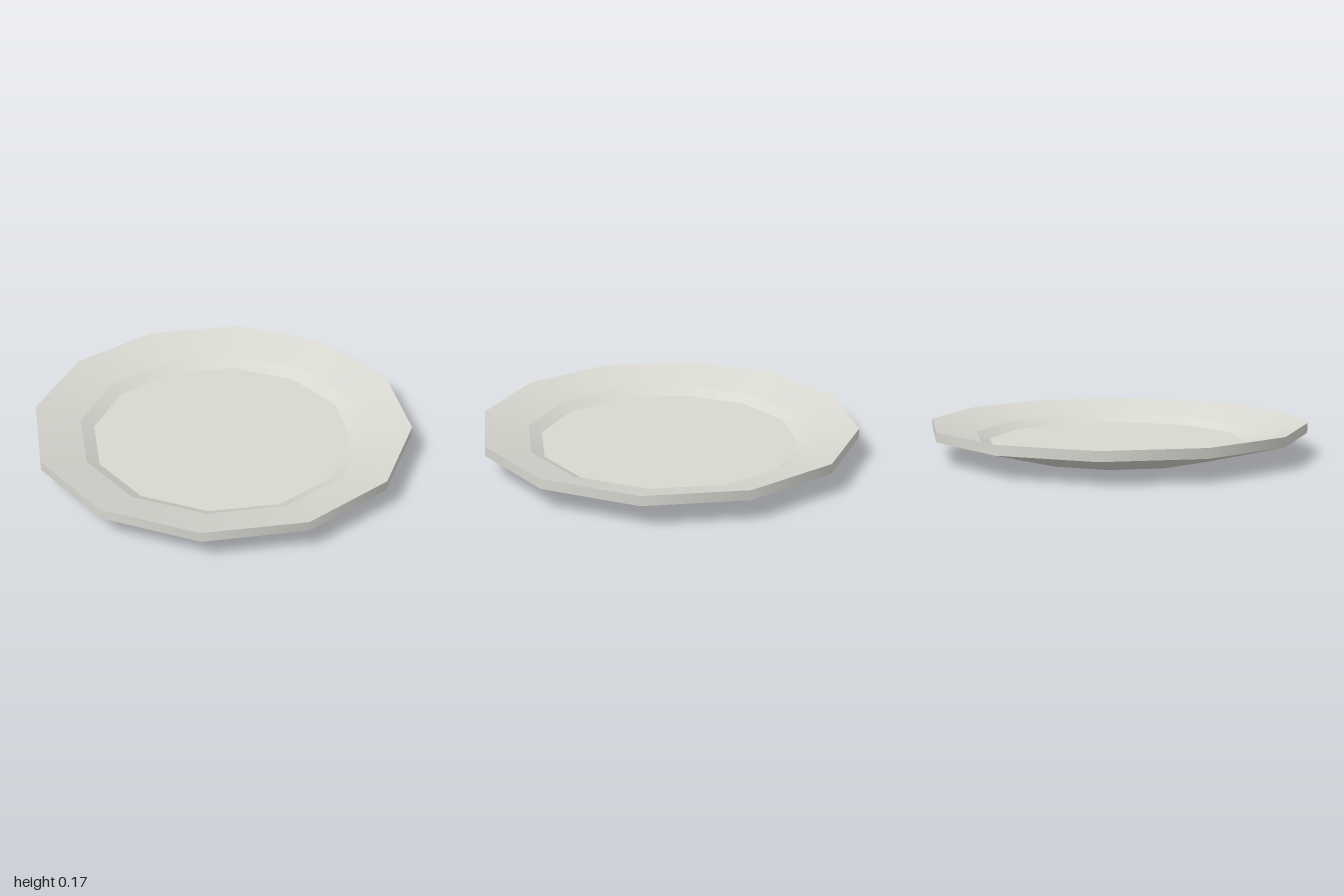
import * as THREE from 'three';

const SIDES = 12;

export function createModel() {
  const plate = new THREE.Group();
  plate.name = 'plate';
  const ceramic = new THREE.MeshStandardMaterial({ color: 0xd8d7d0 });
  ceramic.name = 'offWhiteCeramic';

  // Each band is its own lathe, so edges between bands stay sharp
  // while the twelve sides shade smoothly around the plate.
  const band = (name, profile) => {
    const points = profile.map(([r, y]) => new THREE.Vector2(r, y));
    const mesh = new THREE.Mesh(new THREE.LatheGeometry(points, SIDES), ceramic);
    mesh.name = name;
    plate.add(mesh);
  };

  // Profiles run from the base centre, around the lip, to the floor centre
  band('underside', [[0, 0], [0.55, 0], [1, 0.117]]);
  band('outerLip', [[1, 0.117], [1, 0.168]]);
  band('slopedRim', [[1, 0.168], [0.76, 0.1]]);
  band('wellWall', [[0.76, 0.1], [0.69, 0.063]]);
  band('wellFloor', [[0.69, 0.063], [0, 0.063]]);

  return plate;
}
